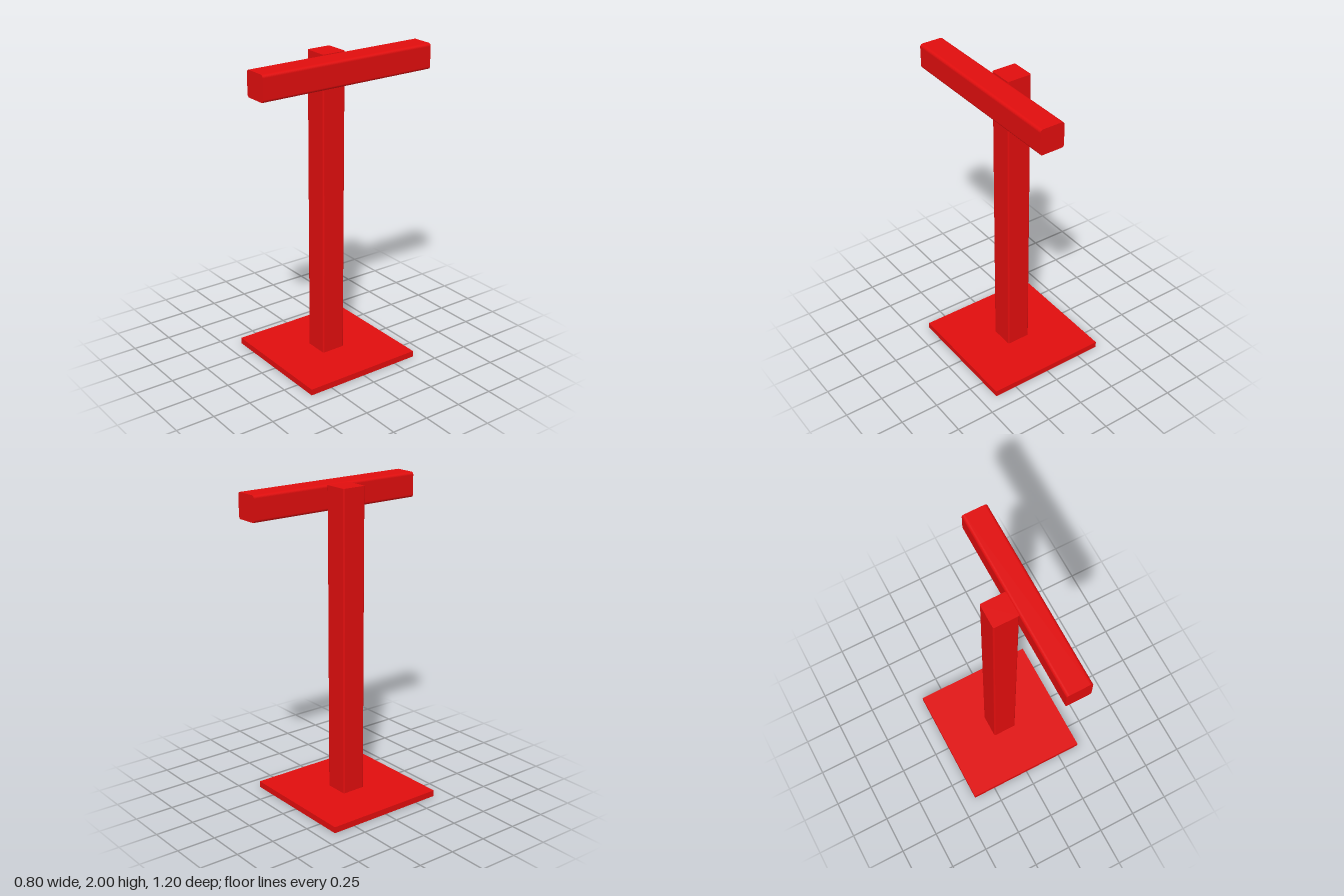
import * as THREE from 'three';

// Square profile of the given width with rounded corners
function roundedSquare(width, r) {
  const h = width / 2, c = h - r;
  const shape = new THREE.Shape();
  shape.moveTo(c, -h);
  shape.absarc(c, -c, r, -Math.PI / 2, 0);
  shape.absarc(c, c, r, 0, Math.PI / 2);
  shape.absarc(-c, c, r, Math.PI / 2, Math.PI);
  shape.absarc(-c, -c, r, Math.PI, Math.PI * 1.5);
  shape.closePath();
  return shape;
}

// Square beam running along z, centred on the origin
function beam(width, length, r) {
  const geometry = new THREE.ExtrudeGeometry(roundedSquare(width, r), {
    depth: length, bevelEnabled: false, curveSegments: 6,
  });
  return geometry.translate(0, 0, -length / 2);
}

export function createModel() {
  const group = new THREE.Group();
  const red = new THREE.MeshStandardMaterial({ color: 0xe00d0d });

  const add = (name, geometry, x, y, z) => {
    const mesh = new THREE.Mesh(geometry, red);
    mesh.name = name;
    mesh.position.set(x, y, z);
    group.add(mesh);
  };

  // Flat foot plate
  add('basePlate', new THREE.BoxGeometry(0.8, 0.04, 0.8), 0, 0.02, 0);

  // Upright post standing on the plate
  add('post', beam(0.16, 1.96, 0.01).rotateX(-Math.PI / 2), 0, 1.02, 0);

  // Crossbar fixed to the left side of the post, flush with its top
  add('crossbar', beam(0.16, 1.2, 0.018), 0.16, 1.92, 0);

  return group;
}
